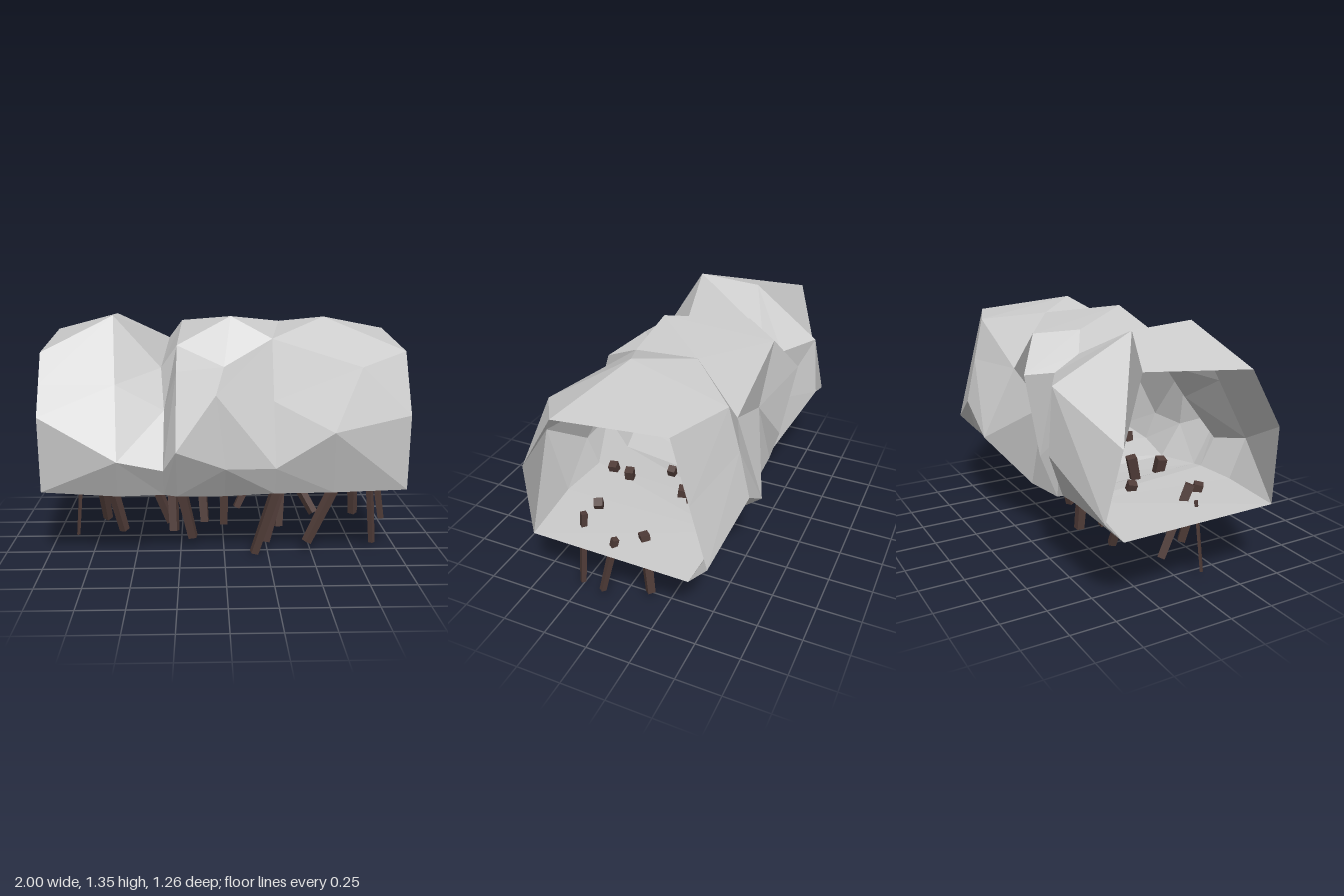
import * as THREE from 'three';

// Cross-sections along the tunnel: points are [y, z, x if off the station], running
// front bottom -> front -> top -> back -> back bottom. "split" picks the diagonal of
// each facet leading to the next section.
const END = [[.42, .43], [.84, .45], [1.0, .355], [1.16, .26], [1.22, -.37], [.87, -.465], [.52, -.56], [.41, -.46]];
const SECTIONS = [
  { x: -1, split: '11100000', ring: END },
  { x: -.58, split: '01111111', ring: [[.41, .48], [.63, .59, -.57], [1.0, .37, -.59], [1.35, .16, -.61], [1.33, -.2, -.62], [1.08, -.6, -.54], [.73, -.63, -.55], [.42, -.46, -.48]] },
  { x: -.33, split: '11111111', ring: [[.41, .46], [.57, .55], [.85, .33], [1.06, .17, -.35], [1.17, -.34, -.32], [1.08, -.47, -.3], [.75, -.45], [.4, -.45]] },
  { x: -.26, split: '11111100', ring: [[.4, .46], [.69, .63], [1.07, .38], [1.19, .21], [1.28, -.29, -.24], [1.06, -.6, -.2], [.6, -.52, -.2], [.37, -.45]] },
  { x: 0, split: '00100000', ring: [[.38, .4], [.57, .53], [.97, .53, -.05], [1.07, .22], [1.34, .11, .04], [1.25, -.49, -.08], [.83, -.43, -.06], [.33, -.45, .08]] },
  { x: .27, split: '00000000', ring: [[.41, .45], [.57, .52], [.9, .345], [1.22, .17], [1.28, -.22, .34], [.97, -.44, .32], [.55, -.62, .39], [.4, -.46, .35]] },
  { x: .59, split: '00111111', ring: [[.42, .47], [.78, .59, .57], [1.1, .44, .73], [1.33, .04, .57], [1.22, -.51, .64], [.98, -.57, .63], [.72, -.63, .63], [.42, -.48]] },
  { x: 1, ring: END },
];

// Open-ended faceted shell lofted through the sections
function rockShell() {
  const pos = [], index = [];
  const n = END.length;
  SECTIONS.forEach(({ x, ring }) => ring.forEach(([y, z, px = x]) => pos.push(px, y, z)));
  for (let i = 0; i < SECTIONS.length - 1; i++) {
    for (let j = 0; j < n; j++) {
      const k = (j + 1) % n;
      const a = i * n + j, b = a + n, c = (i + 1) * n + k, d = i * n + k;
      if (SECTIONS[i].split[j] === '1') index.push(a, b, c, a, c, d);
      else index.push(a, b, d, b, c, d);
    }
  }
  const geo = new THREE.BufferGeometry();
  geo.setAttribute('position', new THREE.Float32BufferAttribute(pos, 3));
  geo.setIndex(index);
  const flat = geo.toNonIndexed();
  flat.computeVertexNormals();
  return flat;
}

// Stakes: bottom x, y, z, top x, y, z, width
const STAKES = [
  [-.86, .05, .10, -.83, .45, .07, .015],
  [-.70, .10, -.05, -.73, .50, .10, .045],
  [-.58, .10, .16, -.66, .46, .21, .045],
  [-.32, .04, -.14, -.48, .46, -.10, .045],
  [-.29, .07, .10, -.31, .54, -.01, .05],
  [-.18, .06, .18, -.27, .48, .22, .05],
  [-.11, .06, -.08, -.14, .48, -.13, .05],
  [.01, .01, -.18, .01, .44, -.14, .05],
  [.08, .19, .03, .20, .45, 0, .04],
  [.17, .01, .31, .31, .46, .33, .045],
  [.24, .05, .23, .35, .48, .20, .045],
  [.34, .03, -.07, .36, .46, -.15, .05],
  [.56, .11, -.08, .36, .46, -.23, .045],
  [.47, .07, .30, .68, .47, .22, .045],
  [.82, .08, -.16, .80, .45, -.12, .045],
  [.86, .04, .24, .83, .50, .22, .03],
  [.95, .12, .06, .91, .46, -.01, .03],
];

export function createModel() {
  const group = new THREE.Group();
  const stone = new THREE.MeshStandardMaterial({ color: 0xcccccc, flatShading: true, side: THREE.DoubleSide });
  const wood = new THREE.MeshStandardMaterial({ color: 0x503c38, flatShading: true });

  const rock = new THREE.Mesh(rockShell(), stone);
  rock.name = 'rockTunnel';
  group.add(rock);

  // Slanted square stakes driven up through the floor
  const stakes = new THREE.Group();
  stakes.name = 'stakes';
  STAKES.forEach(([x0, y0, z0, x1, y1, z1, w]) => {
    const from = new THREE.Vector3(x0, y0, z0), to = new THREE.Vector3(x1, y1, z1);
    const axis = to.clone().sub(from);
    const geo = new THREE.CylinderGeometry(w * .78, w * .65, axis.length(), 4);
    geo.rotateY(Math.PI / 4 + x0);
    const stake = new THREE.Mesh(geo, wood);
    stake.position.copy(from).add(to).multiplyScalar(.5);
    stake.quaternion.setFromUnitVectors(new THREE.Vector3(0, 1, 0), axis.normalize());
    stake.name = 'stake';
    stakes.add(stake);
  });
  group.add(stakes);
  return group;
}
